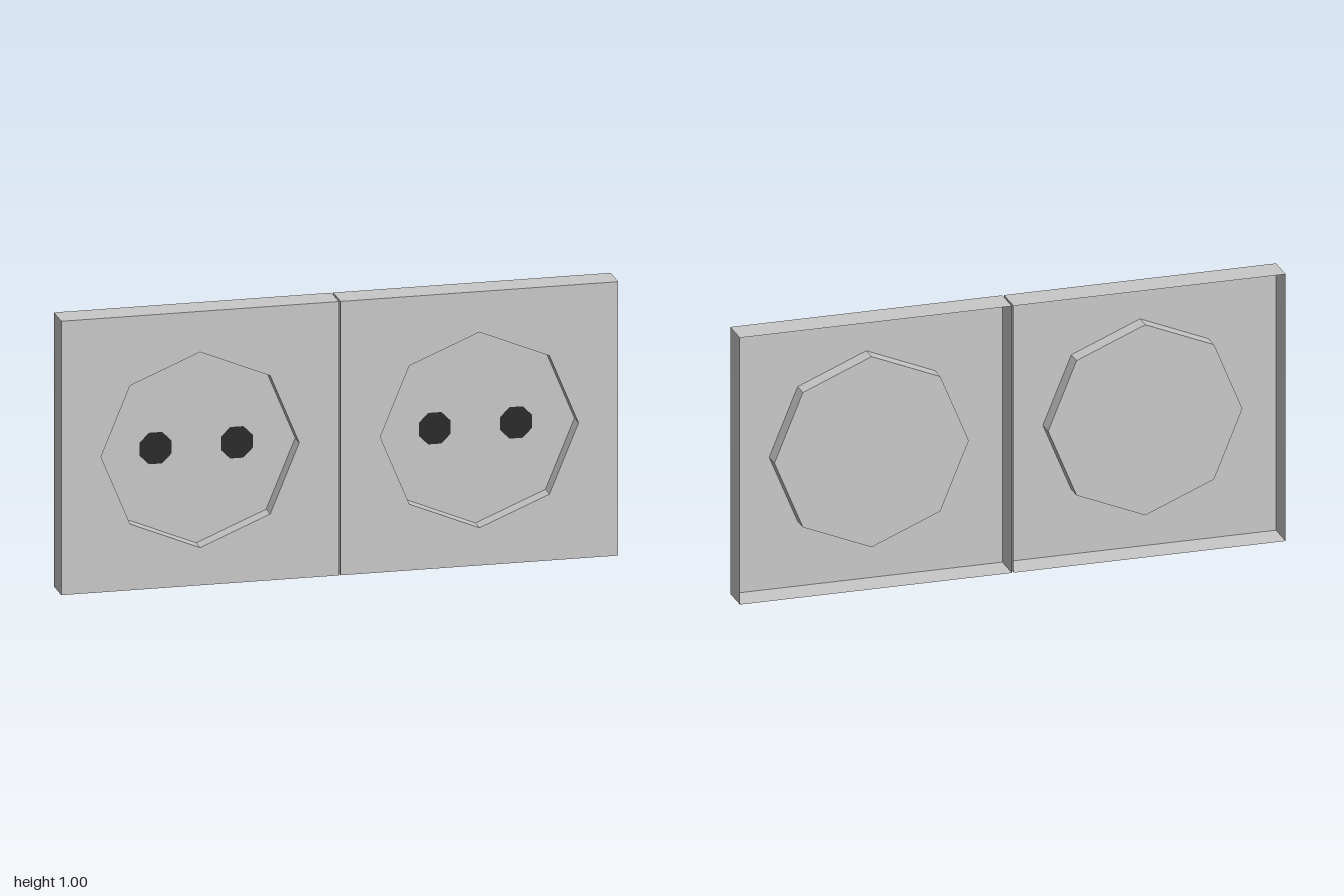
import * as THREE from 'three';

const SIZE = 0.997, DEPTH = 0.11, FRONT = DEPTH / 2;
const CUP_R = 0.356, CUP_DEPTH = 0.06, CUP_Y = 0.493;
const PIN_R = 0.062, PIN_X = 0.146;

const plastic = new THREE.MeshStandardMaterial({ color: 0xc8c8c8, side: THREE.DoubleSide, flatShading: true });
plastic.name = 'grey plastic';
const dark = new THREE.MeshStandardMaterial({ color: 0x2b2b2b });
dark.name = 'dark hole';

function addMesh(parent, name, geometry, material, x = 0, y = 0, z = 0) {
  const mesh = new THREE.Mesh(geometry, material);
  mesh.name = name;
  mesh.position.set(x, y, z);
  parent.add(mesh);
}

// Open prism wall running along z
function wall(radius, depth, sides, start = 0) {
  return new THREE.CylinderGeometry(radius, radius, depth, sides, 1, true, start).rotateX(Math.PI / 2);
}

function createSocket() {
  const socket = new THREE.Group();
  const h = SIZE / 2;

  // Front plate with an octagonal opening
  const face = new THREE.Shape([[-h, 0], [h, 0], [h, SIZE], [-h, SIZE]].map(([x, y]) => new THREE.Vector2(x, y)));
  const opening = [];
  for (let i = 0; i < 8; i++) {
    const a = -i * Math.PI / 4;
    opening.push(new THREE.Vector2(CUP_R * Math.cos(a), CUP_Y + CUP_R * Math.sin(a)));
  }
  face.holes.push(new THREE.Path(opening));
  addMesh(socket, 'facePlate', new THREE.ShapeGeometry(face), plastic, 0, 0, FRONT);

  // Outer walls, open at the back
  addMesh(socket, 'outerWalls', wall(h * Math.SQRT2, DEPTH, 4, Math.PI / 4), plastic, 0, h, 0);

  // Recessed cup
  addMesh(socket, 'cupWall', wall(CUP_R, CUP_DEPTH, 8), plastic, 0, CUP_Y, FRONT - CUP_DEPTH / 2);
  addMesh(socket, 'cupFloor', new THREE.CircleGeometry(CUP_R, 8), plastic, 0, CUP_Y, FRONT - CUP_DEPTH);

  // Pin holes as painted discs
  for (const side of [-1, 1]) {
    addMesh(socket, 'pinHole', new THREE.CircleGeometry(PIN_R, 8, Math.PI / 8), dark,
      side * PIN_X, CUP_Y, FRONT - CUP_DEPTH + 0.002);
  }
  return socket;
}

export function createModel() {
  const model = new THREE.Group();
  model.name = 'doubleSocket';
  for (const side of [-1, 1]) {
    const socket = createSocket();
    socket.name = side < 0 ? 'rightSocket' : 'leftSocket';
    socket.position.x = side * (1 - SIZE / 2);
    model.add(socket);
  }
  return model;
}
